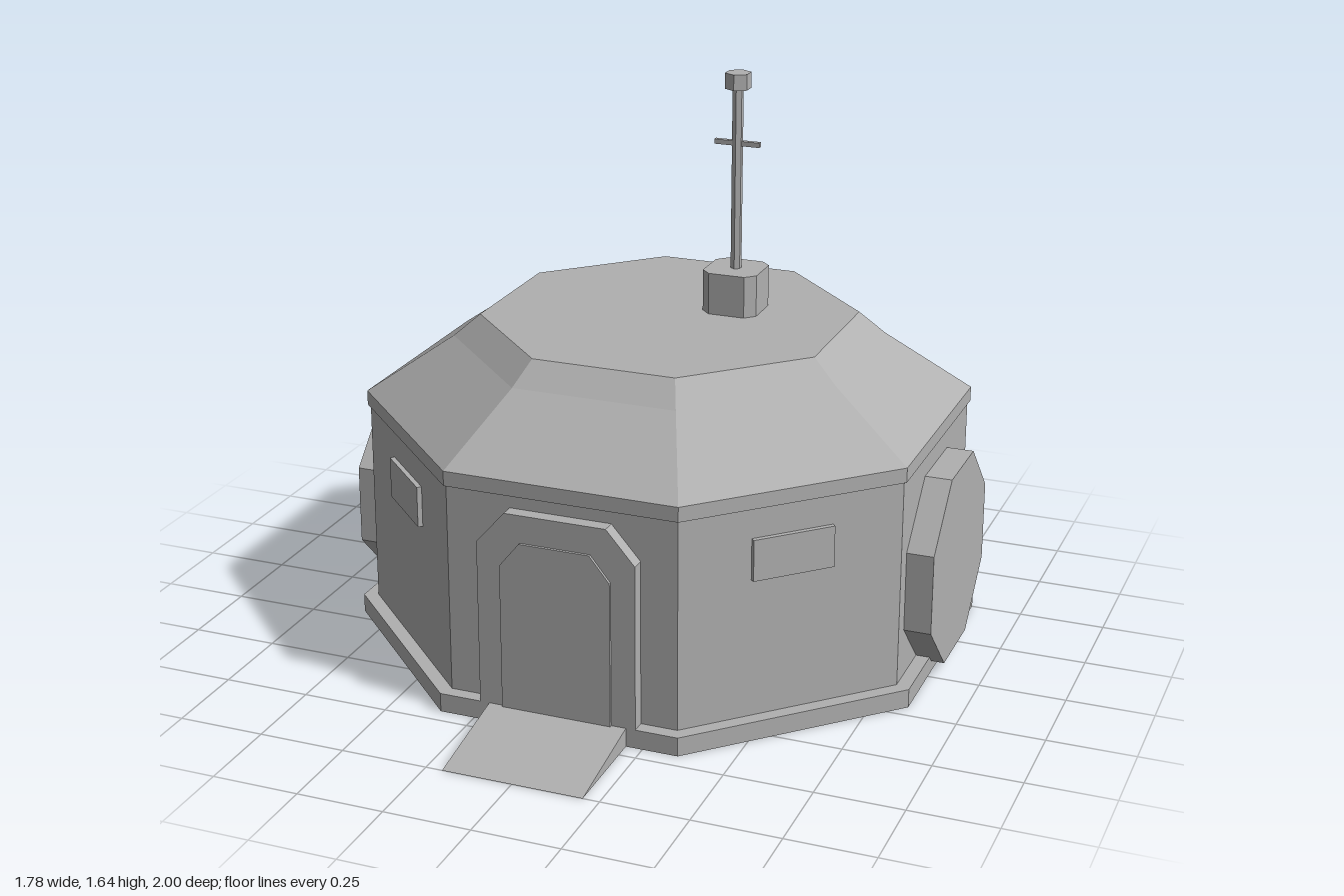
import * as THREE from 'three';

const CZ = -0.15; // centre of the octagonal hut
const grey = new THREE.MeshStandardMaterial({ color: 0xb0b0b0 });
grey.name = 'concreteGrey';

export function createModel() {
  const model = new THREE.Group();

  const add = (name, geometry, x = 0, y = 0, z = 0, parent = model) => {
    const flat = geometry.index ? geometry.toNonIndexed() : geometry;
    flat.computeVertexNormals(); // faceted surfaces throughout
    const mesh = new THREE.Mesh(flat, grey);
    mesh.name = name;
    mesh.position.set(x, y, z);
    parent.add(mesh);
    return mesh;
  };

  // Octagonal prism or frustum measured across its flats
  const octagon = (bottom, top, height, capped = true) => {
    const k = 1 / Math.cos(Math.PI / 8);
    const g = new THREE.CylinderGeometry(top * k, bottom * k, height, 8, 1, !capped);
    return g.rotateY(Math.PI / 8).translate(0, height / 2, 0);
  };

  // Extruded outline from a list of points
  const slab = (points, depth) => new THREE.ExtrudeGeometry(
    new THREE.Shape(points.map(([x, y]) => new THREE.Vector2(x, y))),
    { depth, bevelEnabled: false });

  // Plinth, walls, eaves and two-pitch roof
  add('plinth', octagon(0.85, 0.85, 0.055), 0, 0, CZ);
  add('walls', octagon(0.81, 0.81, 0.615, false), 0, 0.055, CZ);
  add('eaves', octagon(0.818, 0.818, 0.043), 0, 0.667, CZ);
  add('lowerRoof', octagon(0.818, 0.58, 0.17, false), 0, 0.71, CZ);
  add('upperRoof', octagon(0.58, 0.508, 0.065), 0, 0.88, CZ);

  // Arched doorway with chamfered top corners
  const arch = (w, flat, shoulder, top) =>
    [[-w, 0.055], [w, 0.055], [w, shoulder], [flat, top], [-flat, top], [-w, shoulder]];
  add('doorFrame', slab(arch(0.23, 0.147, 0.535, 0.63), 0.05), 0, 0, 0.65);
  add('door', slab(arch(0.16, 0.102, 0.478, 0.55), 0.02), 0, 0, 0.688);

  // Entrance ramp, a wedge extruded sideways
  const ramp = slab([[-1, 0], [-0.69, 0], [-0.69, 0.055], [-0.7, 0.055]], 0.405);
  add('ramp', ramp.rotateY(Math.PI / 2).translate(-0.2025, 0, 0));

  for (const side of [1, -1]) {
    const label = side > 0 ? 'left' : 'right';
    // Octagonal side hatch
    const hatch = octagon(0.283, 0.283, 0.1).rotateZ(-side * Math.PI / 2);
    add(label + 'Hatch', hatch, side * 0.788, 0.317, CZ);
    // Window panel on the diagonal front wall
    const d = 0.8145 * Math.SQRT1_2;
    const pane = add(label + 'Window', new THREE.BoxGeometry(0.242, 0.12, 0.019),
      side * d, 0.52, CZ + d);
    pane.rotation.y = side * Math.PI / 4;
  }

  // Roof mast
  const mast = new THREE.Group();
  mast.name = 'mast';
  mast.position.set(0.161, 0.945, -0.264);
  model.add(mast);
  const a = 0.082, b = 0.054;
  const foot = slab([[a, -b], [a, b], [b, a], [-b, a], [-a, b], [-a, -b], [-b, -a], [b, -a]], 0.123);
  add('mastFoot', foot.rotateX(-Math.PI / 2), 0, 0, 0, mast);
  add('mastPole', new THREE.CylinderGeometry(0.016, 0.016, 0.54, 6), 0, 0.39, 0, mast);
  add('mastCap', new THREE.CylinderGeometry(0.038, 0.038, 0.046, 6), 0, 0.677, 0, mast);
  add('mastCrossbar', new THREE.BoxGeometry(0.136, 0.014, 0.014), 0, 0.495, 0, mast);

  return model;
}
